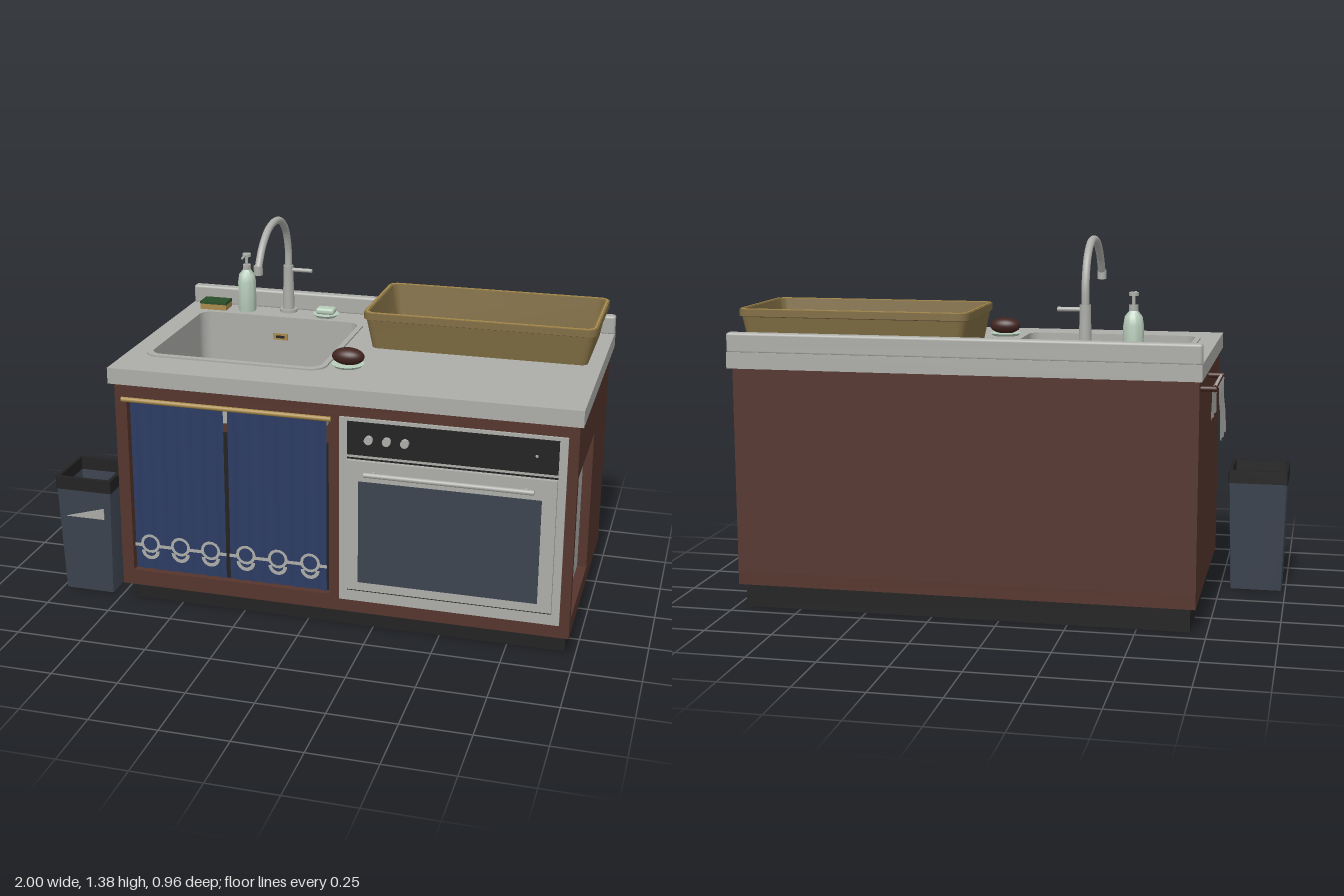
import * as THREE from 'three';
import { toCreasedNormals } from 'three/addons/utils/BufferGeometryUtils.js';
import { RoundedBoxGeometry } from 'three/addons/geometries/RoundedBoxGeometry.js';

const paint = (name, color, side = THREE.FrontSide) => {
  const m = new THREE.MeshStandardMaterial({ color, side });
  m.name = name;
  return m;
};

// Closed rectangle with rounded corners, as a Shape or a hole
function roundRect(x0, y0, x1, y1, r = 0) {
  const s = new THREE.Shape();
  if (!r) return s.moveTo(x0, y0).lineTo(x1, y0).lineTo(x1, y1).lineTo(x0, y1).closePath();
  s.moveTo(x0 + r, y0).lineTo(x1 - r, y0);
  s.absarc(x1 - r, y0 + r, r, -Math.PI / 2, 0);
  s.absarc(x1 - r, y1 - r, r, 0, Math.PI / 2);
  s.absarc(x0 + r, y1 - r, r, Math.PI / 2, Math.PI);
  s.absarc(x0 + r, y0 + r, r, Math.PI, Math.PI * 1.5);
  return s;
}

const extrude = (shape, holes, depth) => {
  shape.holes.push(...holes);
  return new THREE.ExtrudeGeometry(shape, { depth, bevelEnabled: false, curveSegments: 8 });
};

// Skin over stacked rounded rectangles [width, depth, y, radius]; zero width closes the end
function loft(sections, n = 5) {
  const pos = [], idx = [], ring = 4 * (n + 1);
  for (const [w, d, y, r] of sections) {
    for (let c = 0; c < 4; c++) for (let k = 0; k <= n; k++) {
      const a = (c + k / n) * Math.PI / 2;
      const sx = c === 0 || c === 3 ? 1 : -1, sz = c < 2 ? -1 : 1;
      pos.push(w ? sx * (w / 2 - r) + r * Math.cos(a) : 0, y, w ? sz * (d / 2 - r) - r * Math.sin(a) : 0);
    }
  }
  for (let i = 0; i < sections.length - 1; i++) for (let j = 0; j < ring; j++) {
    const a = i * ring + j, b = i * ring + (j + 1) % ring, c = b + ring, d = a + ring;
    if (sections[i][0]) idx.push(a, b, c);
    if (sections[i + 1][0]) idx.push(a, c, d);
  }
  const g = new THREE.BufferGeometry();
  g.setAttribute('position', new THREE.Float32BufferAttribute(pos, 3));
  g.setIndex(idx);
  return toCreasedNormals(g, 0.6);
}

export function createModel() {
  const steel = paint('brushed steel', 0xacaca8, THREE.DoubleSide);
  const wood = paint('red brown wood', 0x55352d);
  const black = paint('black', 0x222222);
  const blue = paint('navy cloth', 0x2b3b62, THREE.DoubleSide);
  const tan = paint('tan basket', 0x806d43);
  const brass = paint('brass', 0xa88a4a);
  const slate = paint('slate', 0x3c434f);
  const green = paint('scouring green', 0x2a4d28);
  const mint = paint('pale mint', 0xb8cdbb);
  const brown = paint('dark brown', 0x42241f);

  const model = new THREE.Group();
  const add = (name, geo, mat, x = 0, y = 0, z = 0) => {
    const m = new THREE.Mesh(geo, mat);
    m.name = name;
    m.position.set(x, y, z);
    model.add(m);
    return m;
  };
  // Box given by its min and max corners
  const box = (name, mat, x0, x1, y0, y1, z0, z1) =>
    add(name, new THREE.BoxGeometry(x1 - x0, y1 - y0, z1 - z0), mat, (x0 + x1) / 2, (y0 + y1) / 2, (z0 + z1) / 2);
  const rod = (name, mat, r, len, axis, x, y, z, r2 = r) => {
    const g = new THREE.CylinderGeometry(r2, r, len, 24);
    if (axis === 'x') g.rotateZ(Math.PI / 2);
    if (axis === 'z') g.rotateX(Math.PI / 2);
    return add(name, g, mat, x, y, z);
  };
  const flat = (shape, holes, h) => extrude(shape, holes, h).rotateX(-Math.PI / 2);

  // Cabinet carcass
  box('plinth', black, -0.69, 0.96, 0, 0.09, -0.435, 0.355);
  box('cabinetFloor', wood, -0.71, 0.98, 0.09, 0.14, -0.46, 0.40);
  box('backPanel', wood, -0.71, 0.98, 0.14, 0.9, -0.46, -0.43);
  box('leftPanel', wood, -0.71, -0.68, 0.14, 0.9, -0.43, 0.40);
  add('frontFrame', extrude(roundRect(-0.71, 0.09, 0.98, 0.9),
    [roundRect(-0.665, 0.15, 0.1, 0.84), roundRect(0.14, 0.14, 0.942, 0.848)], 0.03), wood, 0, 0, 0.4);
  add('rightPanel', extrude(roundRect(-0.4, 0.14, 0.43, 0.9),
    [roundRect(-0.399, 0.155, 0.045, 0.695)], 0.035).rotateY(Math.PI / 2), wood, 0.945, 0, 0);
  box('curtainBacking', black, -0.68, 0.12, 0.14, 0.72, 0.37, 0.4);

  // Countertop, backsplash and basin
  const hole = () => roundRect(-0.63, -0.275, 0.02, 0.3, 0.045);
  add('countertop', flat(roundRect(-0.72, -0.465, 0.995, 0.48), [hole()], 0.06), steel, 0, 0.9, 0);
  add('backsplash', new RoundedBoxGeometry(1.715, 0.075, 0.04, 3, 0.01), steel, 0.1375, 0.993, -0.46);
  add('sinkRim', flat(roundRect(-0.65, -0.3, 0.04, 0.325, 0.06), [hole()], 0.006), steel, 0, 0.96, 0);
  add('basinWall', flat(roundRect(-0.64, -0.285, 0.03, 0.31, 0.05), [hole()], 0.18), steel, 0, 0.72, 0);
  box('basinFloor', black, -0.632, 0.022, 0.715, 0.73, -0.302, 0.277);
  add('drainRing', new THREE.TorusGeometry(0.038, 0.005, 8, 32).rotateX(Math.PI / 2), brass, -0.305, 0.732, -0.01);
  box('overflowPlate', brass, -0.335, -0.275, 0.872, 0.898, -0.3, -0.294);
  box('overflowSlot', black, -0.322, -0.288, 0.88, 0.89, -0.294, -0.292);

  // Tap
  rod('tapBase', steel, 0.035, 0.012, 'y', -0.305, 0.966, -0.41);
  rod('tapColumn', steel, 0.024, 0.15, 'y', -0.305, 1.04, -0.41, 0.02);
  const neck = [[-0.41, 1.1], [-0.41, 1.22], [-0.375, 1.305], [-0.31, 1.353], [-0.23, 1.365],
    [-0.15, 1.348], [-0.08, 1.3], [-0.032, 1.235]].map(([z, y]) => new THREE.Vector3(0, y, z));
  add('tapNeck', new THREE.TubeGeometry(new THREE.CatmullRomCurve3(neck), 48, 0.014, 14), steel, -0.305);
  rod('tapTip', steel, 0.017, 0.035, 'y', -0.305, 1.225, -0.03);
  rod('tapLever', steel, 0.008, 0.1, 'x', -0.257, 1.133, -0.41);
  rod('tapJoint', steel, 0.02, 0.04, 'y', -0.305, 1.13, -0.41);

  // Soap bottle with pump
  const bottle = [[0, 0], [0.034, 0], [0.036, 0.01], [0.036, 0.12], [0.031, 0.15], [0.015, 0.17], [0.012, 0.185], [0, 0.185]];
  add('soapBottle', toCreasedNormals(new THREE.LatheGeometry(bottle.map(p => new THREE.Vector2(...p)), 28), 0.7),
    mint, -0.47, 0.96, -0.38);
  rod('pumpCollar', steel, 0.016, 0.02, 'y', -0.47, 1.14, -0.38);
  rod('pumpStem', steel, 0.006, 0.045, 'y', -0.47, 1.165, -0.38);
  rod('pumpHead', steel, 0.017, 0.012, 'y', -0.47, 1.188, -0.38);
  rod('pumpSpout', steel, 0.005, 0.05, 'z', -0.47, 1.188, -0.35);

  // Sponge, soap dish and small plate
  box('spongeFoam', brass, -0.66, -0.55, 0.96, 0.982, -0.42, -0.345);
  box('spongeScourer', green, -0.66, -0.55, 0.982, 0.992, -0.42, -0.345);
  rod('soapDish', mint, 0.04, 0.012, 'y', -0.14, 0.966, -0.38, 0.052);
  add('soapBar', new RoundedBoxGeometry(0.075, 0.025, 0.05, 3, 0.01), mint, -0.14, 0.984, -0.38);
  rod('smallPlate', mint, 0.05, 0.01, 'y', 0.11, 0.965, 0.21, 0.06);
  add('vegetable', new THREE.SphereGeometry(1, 28, 18).scale(0.06, 0.032, 0.037), brown, 0.112, 0.998, 0.213);

  // Draining basket on two runners
  add('basket', loft([[0, 0, 0.97, 0], [0.8, 0.4, 0.97, 0.025], [0.842, 0.43, 1.08, 0.03], [0.86, 0.445, 1.083, 0.035],
    [0.86, 0.445, 1.108, 0.035], [0.825, 0.408, 1.108, 0.03], [0.785, 0.385, 0.982, 0.022], [0, 0, 0.982, 0]]),
    tan, 0.545, 0, -0.192);
  for (const z of [-0.35, -0.03]) box('basketRunner', tan, 0.2, 0.89, 0.96, 0.971, z - 0.008, z + 0.008);
  add('basketRim', flat(roundRect(-0.425, -0.217, 0.425, 0.217, 0.033),
    [roundRect(-0.418, -0.21, 0.418, 0.21, 0.03)], 0.003), brass, 0.545, 1.108, -0.192);

  // Curtains with folds and a lace border
  rod('curtainRod', brass, 0.009, 0.79, 'x', -0.285, 0.836, 0.441);
  for (const [x0, x1] of [[-0.655, -0.297], [-0.281, 0.09]]) {
    const w = x1 - x0, mid = (x0 + x1) / 2;
    const cloth = new THREE.PlaneGeometry(w, 0.67, 60, 1), p = cloth.attributes.position;
    for (let i = 0; i < p.count; i++) p.setZ(i, 0.0025 * Math.sin(p.getX(i) / w * Math.PI * 14));
    cloth.computeVertexNormals();
    add('curtain', cloth, blue, mid, 0.495, 0.423);
    for (let k = 0; k < 3; k++) {
      const x = x0 + w * (k + 0.5) / 3;
      add('laceRing', new THREE.RingGeometry(0.027, 0.038, 14), steel, x, 0.265, 0.428);
      for (const s of [-1, 1])
        add('laceLink', new THREE.PlaneGeometry(0.034, 0.013), steel, x + s * w / 8, 0.257, 0.428);
      add('laceScallop', new THREE.RingGeometry(0.022, 0.036, 12, 1, Math.PI, Math.PI), steel, x, 0.237, 0.4285);
    }
  }

  // Oven
  box('ovenBody', steel, 0.14, 0.944, 0.14, 0.847, -0.15, 0.436);
  box('controlPanel', black, 0.17, 0.915, 0.712, 0.835, 0.436, 0.443);
  for (const x of [0.25, 0.315, 0.38]) rod('ovenKnob', steel, 0.015, 0.018, 'z', x, 0.775, 0.451);
  rod('indicator', steel, 0.005, 0.003, 'z', 0.84, 0.775, 0.444);
  box('doorGap', black, 0.17, 0.915, 0.694, 0.7, 0.436, 0.438);
  box('ovenDoor', steel, 0.17, 0.915, 0.192, 0.693, 0.436, 0.452);
  box('ovenWindow', slate, 0.215, 0.865, 0.225, 0.617, 0.452, 0.455);
  box('lowerGap', black, 0.17, 0.915, 0.182, 0.187, 0.436, 0.438);
  rod('ovenHandle', steel, 0.009, 0.6, 'x', 0.54, 0.652, 0.474);
  for (const x of [0.27, 0.81]) rod('handlePost', steel, 0.007, 0.025, 'z', x, 0.652, 0.462);

  // Towel rail and towel on the side
  rod('towelRail', brown, 0.008, 0.345, 'z', -0.758, 0.865, -0.242);
  for (const z of [-0.41, -0.08]) rod('railBracket', brown, 0.01, 0.055, 'x', -0.737, 0.868, z);
  const fold = [[-0.742, 0.745], [-0.743, 0.8], [-0.746, 0.865], [-0.757, 0.877], [-0.768, 0.865], [-0.768, 0.82], [-0.775, 0.75], [-0.777, 0.675]];
  const towel = new THREE.PlaneGeometry(0.27, 1, 16, fold.length - 1), tp = towel.attributes.position;
  for (let i = 0; i < tp.count; i++) {
    const [x, y] = fold[Math.floor(i / 17)], z = tp.getX(i);
    tp.setXYZ(i, x + (0.877 - y) * 0.025 * Math.sin(z * 60), y, z);
  }
  towel.computeVertexNormals();
  add('towel', towel, steel, 0, 0, -0.235);

  // Waste bin
  add('binBody', loft([[0, 0, 0, 0], [0.195, 0.195, 0, 0.006], [0.22, 0.22, 0.43, 0.006], [0.2, 0.2, 0.43, 0.006],
    [0.178, 0.178, 0.015, 0.006], [0, 0, 0.015, 0]], 2), slate, -0.8875, 0, 0.255);
  add('binRim', flat(roundRect(-0.1125, -0.1125, 0.1125, 0.1125, 0.006),
    [roundRect(-0.098, -0.098, 0.098, 0.098, 0.004)], 0.05), black, -0.8875, 0.42, 0.255);
  const wedge = new THREE.Shape().moveTo(-0.075, 0).lineTo(0.08, 0).lineTo(0.08, 0.045).closePath();
  add('binWedge', extrude(wedge, [], 0.004).rotateX(0.029), steel, -0.8875, 0.31, 0.362);

  return model;
}
